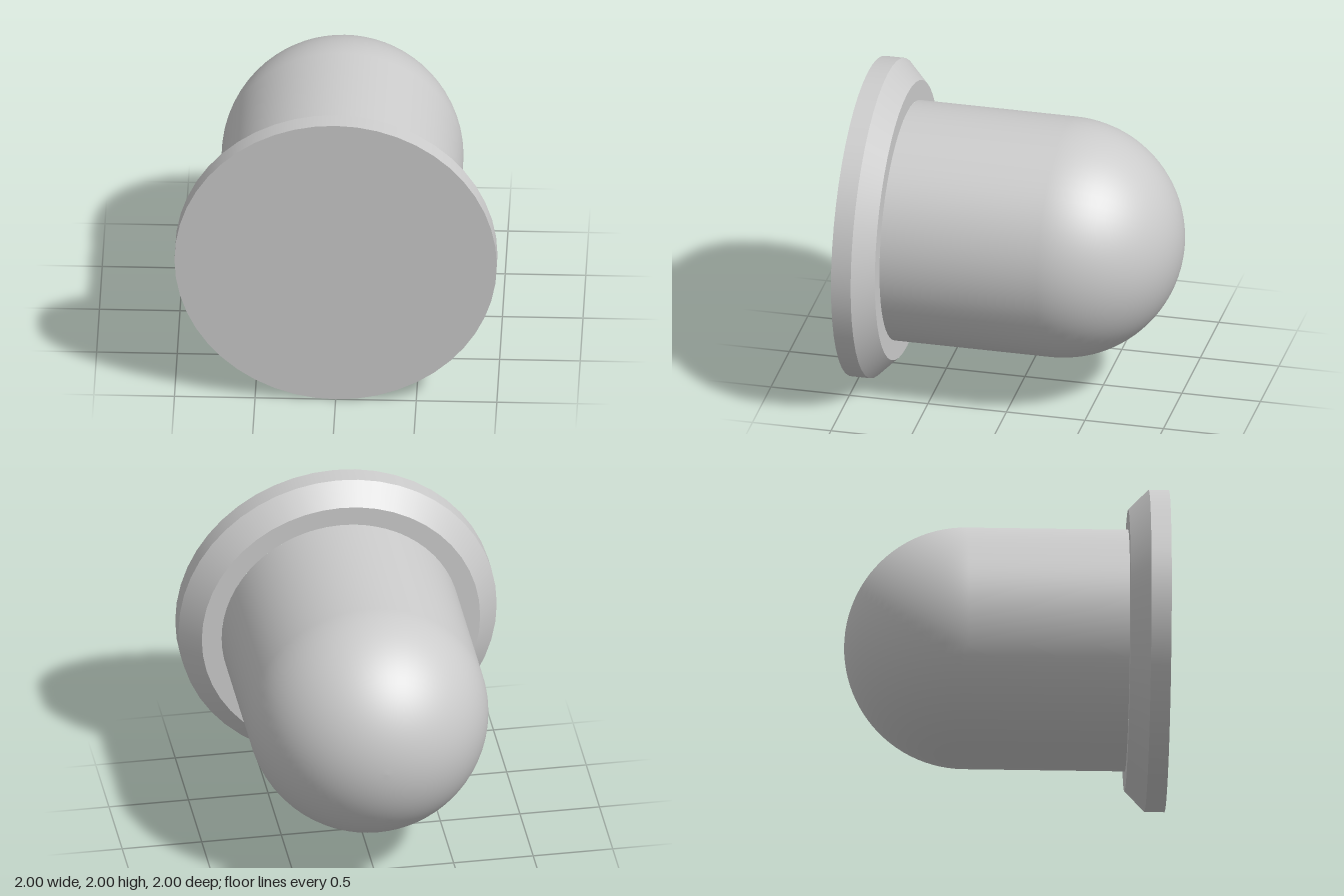
import * as THREE from 'three';
import { mergeGeometries } from 'three/addons/utils/BufferGeometryUtils.js';

const SIDES = 48;

// Revolves a profile of [radius, z] points, listed front to back, around the z axis.
function revolve(points, sides = SIDES) {
  const profile = points.map(([r, z]) => new THREE.Vector2(r, -z));
  return new THREE.LatheGeometry(profile, sides).rotateX(-Math.PI / 2);
}

export function createModel() {
  const group = new THREE.Group();
  const material = new THREE.MeshStandardMaterial({ color: 0xcccccc });
  const add = (name, geometry) => {
    const mesh = new THREE.Mesh(geometry, material);
    mesh.name = name;
    mesh.position.y = 1;
    group.add(mesh);
  };

  // Flange: flat front, straight rim, chamfer and back ledge, each with sharp edges
  const rim = [[0, 1], [1, 1], [1, 0.875], [0.875, 0.75], [0.75, 0.75]];
  add('flange', mergeGeometries(rim.slice(1).map((p, i) => revolve([rim[i], p]))));

  // Body: straight barrel running smoothly into a hemispherical end
  const body = [[0.75, 0.75]];
  const steps = 24;
  for (let i = 0; i <= steps; i++) {
    const a = (i / steps) * Math.PI / 2;
    body.push([i === steps ? 0 : 0.75 * Math.cos(a), -0.25 - 0.75 * Math.sin(a)]);
  }
  add('domedBody', revolve(body, 64));

  return group;
}
